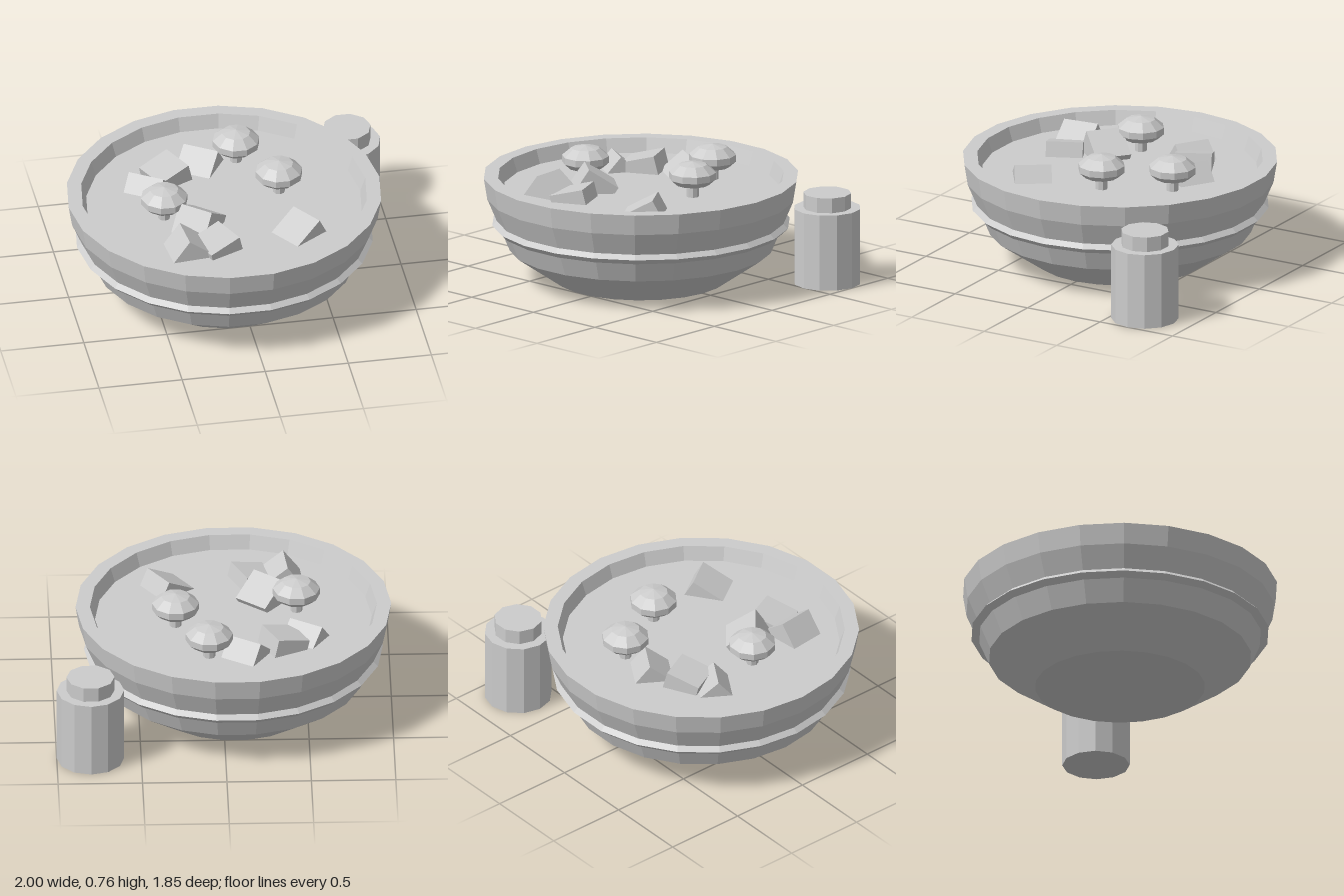
import * as THREE from 'three';

const grey = new THREE.MeshStandardMaterial({ color: 0xcccccc });

// Faceted mesh: every face gets its own normal
function facet(name, geometry) {
  const g = geometry.index ? geometry.toNonIndexed() : geometry;
  g.computeVertexNormals();
  const mesh = new THREE.Mesh(g, grey);
  mesh.name = name;
  return mesh;
}

// Lathe with a vertex on the x axis
function turned(name, points, sides) {
  const profile = points.map(([r, y]) => new THREE.Vector2(r, y));
  return facet(name, new THREE.LatheGeometry(profile, sides).rotateY(Math.PI / 2));
}

// Tilted cube, placed by the middle of its raised top edge
function chunk([x, y, z], yaw, tilt, size = 0.21) {
  const g = new THREE.BoxGeometry(size, size, size + 0.01)
    .translate(-size / 2, -size / 2, 0)
    .rotateZ(tilt)
    .rotateY(yaw)
    .translate(x, y, z);
  return facet('foodChunk', g);
}

function mushroom(x, z) {
  const group = new THREE.Group();
  group.name = 'mushroom';
  const cap = [[0, 0.61], [0.1, 0.625], [0.14, 0.66], [0.14, 0.7], [0.085, 0.747], [0, 0.765]];
  group.add(turned('mushroomCap', cap, 10));
  group.add(turned('mushroomStem', [[0, 0.5], [0.036, 0.5], [0.036, 0.62], [0, 0.62]], 8));
  group.position.set(x, 0, z);
  return group;
}

export function createModel() {
  const model = new THREE.Group();
  model.name = 'soupBowlWithCup';

  // Bowl with raised band and broth
  const bowl = new THREE.Group();
  bowl.name = 'bowl';
  bowl.position.x = -0.065;
  bowl.add(turned('bowlShell', [
    [0, 0], [0.505, 0], [0.78, 0.19], [0.915, 0.51], [0.935, 0.635], [0.85, 0.635], [0.82, 0.55],
  ], 22));
  bowl.add(turned('broth', [[0.82, 0.55], [0, 0.55]], 22));
  const band = new THREE.TorusGeometry(0.853, 0.032, 4, 22).rotateX(Math.PI / 2).translate(0, 0.347, 0);
  bowl.add(facet('bowlBand', band));
  model.add(bowl);

  // Floating food
  for (const [x, z] of [[0.09, -0.455], [0.28, -0.08], [-0.44, 0.08]]) model.add(mushroom(x, z));
  model.add(
    chunk([0.37, 0.65, 0.34], 0.6, 0.5),
    chunk([-0.49, 0.645, -0.24], -2.13, 0.72),
    chunk([-0.275, 0.66, -0.38], 0.455, 0.25),
    chunk([-0.12, 0.66, -0.46], -2.13, 0.9),
    chunk([-0.28, 0.7, 0.24], -2.26, 0.58),
    chunk([-0.385, 0.68, 0.46], -3.04, 0.65),
    chunk([-0.11, 0.64, 0.41], 0.43, 0.25),
  );

  // Small canister behind the bowl
  const canister = new THREE.Group();
  canister.name = 'canister';
  canister.position.set(0.8, 0, -0.69);
  canister.add(turned('canisterBody', [[0, 0], [0.2, 0], [0.2, 0.46], [0, 0.46]], 12));
  canister.add(turned('canisterLid', [[0.143, 0.46], [0.143, 0.55], [0, 0.55]], 10));
  model.add(canister);

  return model;
}
